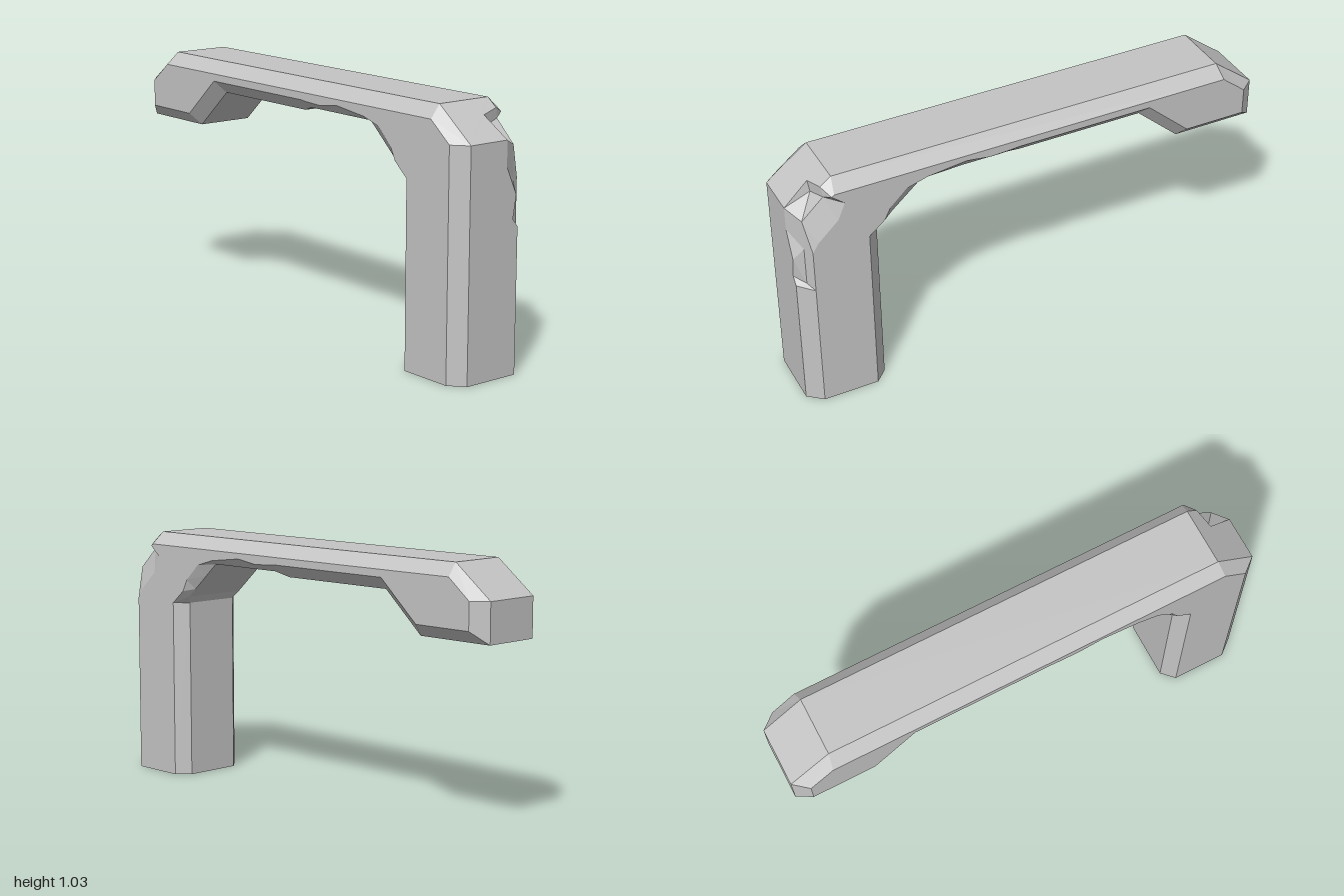
import * as THREE from 'three';

const Z = 0.17; // half depth of the flat front and back faces

// Flat polygons given as loops of corners, counter-clockwise from outside
function polyhedron(name, faces, material) {
  const pos = [];
  for (const loop of faces) {
    const pts = loop.map(p => new THREE.Vector3(...p));
    const n = new THREE.Vector3();
    pts.forEach((p, i) => n.add(p.clone().cross(pts[(i + 1) % pts.length])));
    n.normalize();
    const u = new THREE.Vector3(Math.abs(n.x) > 0.8 ? 0 : 1, Math.abs(n.x) > 0.8 ? 1 : 0, 0).cross(n).normalize();
    const v = n.clone().cross(u);
    const flat = pts.map(p => new THREE.Vector2(p.dot(u), p.dot(v)));
    for (const [a, b, c] of THREE.ShapeUtils.triangulateShape(flat, [])) {
      const t = pts[b].clone().sub(pts[a]).cross(pts[c].clone().sub(pts[a]));
      const order = t.dot(n) < 0 ? [a, c, b] : [a, b, c];
      order.forEach(i => pos.push(pts[i].x, pts[i].y, pts[i].z));
    }
  }
  const geometry = new THREE.BufferGeometry();
  geometry.setAttribute('position', new THREE.Float32BufferAttribute(pos, 3));
  geometry.computeVertexNormals();
  const mesh = new THREE.Mesh(geometry, material);
  mesh.name = name;
  return mesh;
}

export function createModel() {
  const stone = new THREE.MeshStandardMaterial({ color: 0xc4c4c4, flatShading: true });
  stone.name = 'grey stone';

  // Arch outline: rim x, rim y, rim half depth, then face x, face y
  const outline = [
    [1, 0, 0.12, 0.94, 0], [1, 0.9, 0.12, 0.94, 0.9],
    [0.83, 1.03, 0.12, 0.84, 0.98], [-0.83, 1.03, 0.12, -0.84, 0.98],
    [-1, 0.9, 0.12, -0.94, 0.9], [-1, 0.74, 0.12, -0.94, 0.79],
    [-0.66, 0.74, 0.12, -0.68, 0.79], [-0.48, 0.9, 0.12, -0.5, 0.95],
    [0.05, 0.9, 0.12, 0.08, 0.95],
    // worn underside and brace
    [0.11, 0.92, 0.14, 0.11, 0.947], [0.2, 0.92, 0.14, 0.2, 0.943],
    [0.3, 0.92, 0.14, 0.3, 0.957], [0.47, 0.92, 0.14, 0.46, 0.938],
    [0.53, 0.867, 0.14, 0.55, 0.912], [0.6, 0.805, 0.14, 0.62, 0.845],
    [0.64, 0.77, 0.14, 0.645, 0.795],
    [0.66, 0.74, 0.12, 0.71, 0.74], [0.66, 0, 0.12, 0.71, 0],
  ];
  const rim = (i, s) => [outline[i][0], outline[i][1], s * outline[i][2]];
  const face = (i, s) => [outline[i][3], outline[i][4], s * Z];

  // Edge of the chip: side face, sloped shoulder, back face
  const sideEdge = [[1, 0.57, -0.12], [1, 0.6, -0.095], [1, 0.69, -0.11], [1, 0.8, -0.06], [1, 0.9, -0.06]];
  const [A, B, C, D, E] = sideEdge;
  const F = [0.895, 0.98, -0.04], G = [0.875, 0.9956, -0.12];
  const backEdge = [[0.94, 0.56, -Z], [0.94, 0.74, -Z], [0.915, 0.78, -Z], [0.83, 0.86, -Z], [0.8, 0.93, -Z], [0.85, 0.972, -Z]];
  const [K, L, M, N, P, H] = backEdge;

  // Main body: flat faces, chamfers and rim, open where the corner is chipped
  const index = outline.map((_, i) => i);
  const body = [
    index.map(i => face(i, 1)),
    [face(0, -1), ...backEdge, ...index.slice(2).map(i => face(i, -1))].reverse(),
    [rim(0, 1), rim(0, -1), ...sideEdge, rim(1, 1)],
    [rim(1, 1), E, F, G, rim(2, -1), rim(2, 1)],
    [rim(0, -1), face(0, -1), K, A],
    [G, H, face(2, -1), rim(2, -1)],
  ];
  for (const i of index) {
    const j = (i + 1) % outline.length;
    body.push([rim(i, 1), rim(j, 1), face(j, 1), face(i, 1)]);
    if (i < 2) continue;
    body.push([rim(i, -1), face(i, -1), face(j, -1), rim(j, -1)]);
    body.push([rim(i, 1), rim(i, -1), rim(j, -1), rim(j, 1)]);
  }

  // Broken faces inside the chip, meeting along an inner ridge
  const p0 = [0.96, 0.575, -0.13], p1 = [0.96, 0.74, -0.13], p2 = [0.96, 0.87, -0.13];
  const p3 = [0.87, 0.955, -0.13], p4 = [0.89, 0.935, -0.05];
  const chip = [
    [A, K, p0], [B, A, p0], [C, B, p0], [C, p0, p1], [D, C, p1], [D, p1, p2], [E, D, p2],
    [E, p2, p4], [p2, p3, p4], [F, E, p4], [G, F, p4], [G, p4, p3], [H, G, p3],
    [K, L, p1], [K, p1, p0], [L, M, p2], [L, p2, p1], [M, N, p2], [N, p3, p2], [N, P, p3], [P, H, p3],
  ];

  const model = new THREE.Group();
  model.name = 'brokenArch';
  model.add(polyhedron('archBody', body, stone), polyhedron('chippedCorner', chip, stone));
  return model;
}
